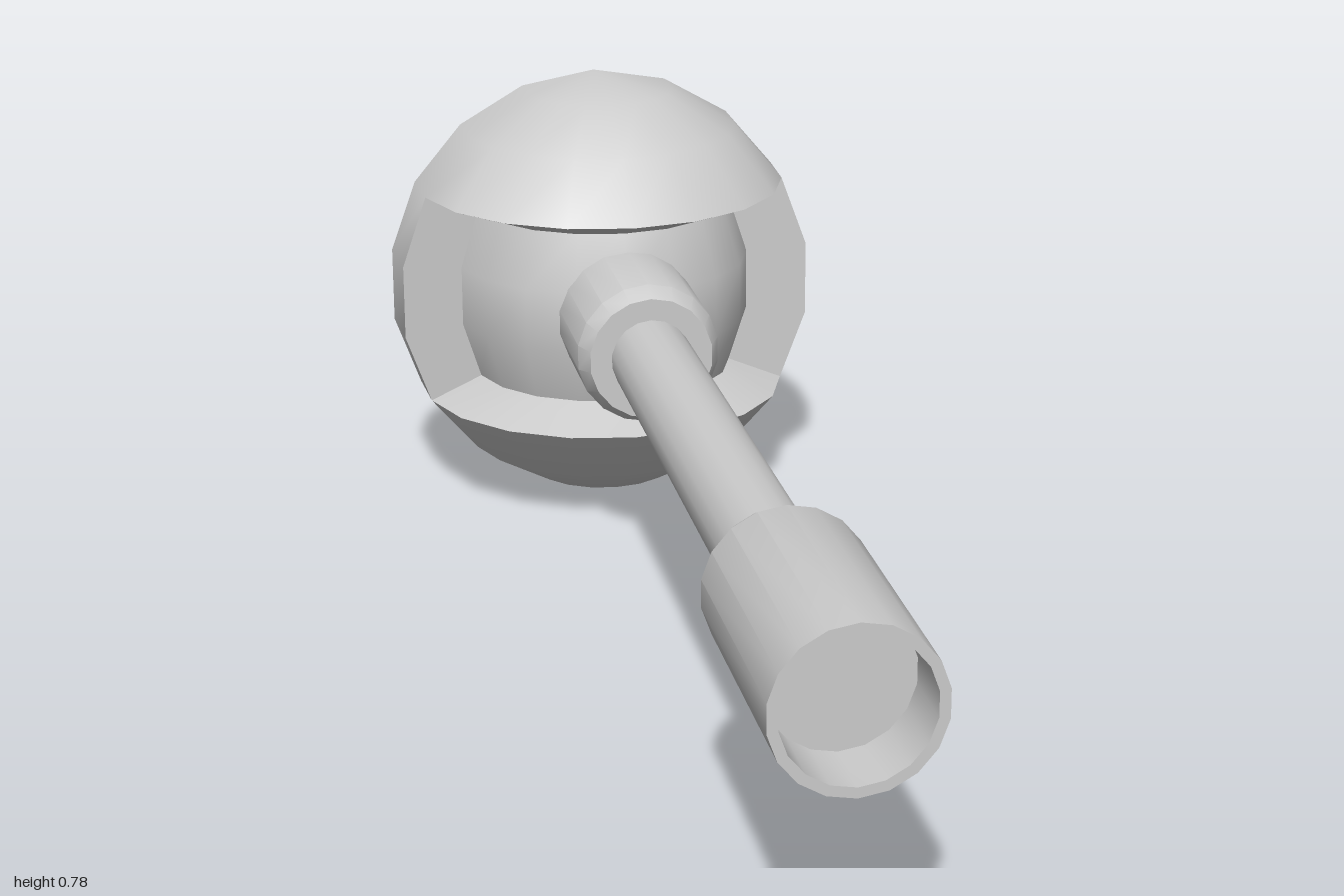
import * as THREE from 'three';
import { toCreasedNormals } from 'three/addons/utils/BufferGeometryUtils.js';

const CY = 0.388, R = 0.388, CZ = -0.945, BACK = -1;
const LATS = [-90, -70, -50, -30, -10, 10, 30, 50, 70, 90];
const LONS = [0, 10, 30, 50, 70, 90, 110, 130, 150, 170, 180];
const rad = THREE.MathUtils.degToRad;

// Point on the outer dome; the rim and poles lie on the back plane
function outer(i, j) {
  const r = R * Math.cos(rad(LATS[i])), t = rad(LONS[j]);
  const flat = j === 0 || j === LONS.length - 1 || i === 0 || i === LATS.length - 1;
  return [r * Math.cos(t), CY + R * Math.sin(rad(LATS[i])), flat ? BACK : CZ + r * Math.sin(t)];
}

// Point on the recessed floor of the slot
function inner(i, j) {
  const r = 0.71 * R * Math.cos(rad(LATS[i])), t = rad(LONS[j]);
  return [r * Math.cos(t), CY + 0.81 * R * Math.sin(rad(LATS[i])), CZ + r * Math.sin(t)];
}

function domeGeometry() {
  const pos = [];
  const same = (a, b) => Math.hypot(a[0] - b[0], a[1] - b[1], a[2] - b[2]) < 1e-6;
  const tri = (a, b, c) => {
    if (!same(a, b) && !same(b, c) && !same(a, c)) pos.push(...a, ...b, ...c);
  };
  const quad = (a, b, c, d) => { tri(a, b, c); tri(a, c, d); };
  const last = LONS.length - 1, lo = 3, hi = 6;

  // Dome skin, sunk in between the slot edges
  for (let i = 0; i < LATS.length - 1; i++) {
    for (let j = 0; j < last; j++) {
      const p = i >= lo && i < hi && j >= 1 && j < last - 1 ? inner : outer;
      quad(p(i, j + 1), p(i, j), p(i + 1, j), p(i + 1, j + 1));
    }
    // Flat back
    const c = [0, CY, BACK];
    tri(c, outer(i + 1, 0), outer(i, 0));
    tri(c, outer(i, last), outer(i + 1, last));
  }
  // Lower and upper slot walls
  for (let j = 1; j < last - 1; j++) {
    quad(outer(lo, j + 1), outer(lo, j), inner(lo, j), inner(lo, j + 1));
    quad(inner(hi, j + 1), inner(hi, j), outer(hi, j), outer(hi, j + 1));
  }
  // Side slot walls
  for (let i = lo; i < hi; i++) {
    const k = last - 1;
    quad(inner(i, 1), outer(i, 1), outer(i + 1, 1), inner(i + 1, 1));
    quad(outer(i, k), inner(i, k), inner(i + 1, k), outer(i + 1, k));
  }
  const g = new THREE.BufferGeometry();
  g.setAttribute('position', new THREE.Float32BufferAttribute(pos, 3));
  return toCreasedNormals(g, rad(32));
}

// Turned part along z from [radius, z] pairs
function turned(profile, sides = 18) {
  const g = new THREE.LatheGeometry(profile.map(([r, z]) => new THREE.Vector2(r, z)), sides);
  g.rotateX(Math.PI / 2);
  return toCreasedNormals(g, rad(30));
}

export function createModel() {
  const model = new THREE.Group();
  const material = new THREE.MeshStandardMaterial({ color: 0xcccccc });
  const add = (parent, name, geometry) => {
    const mesh = new THREE.Mesh(geometry, material);
    mesh.name = name;
    parent.add(mesh);
  };

  add(model, 'slottedDome', domeGeometry());

  // Shaft assembly, very slightly skewed sideways
  const shaft = new THREE.Group();
  shaft.name = 'shaftAssembly';
  shaft.position.set(-0.003, CY, 0);
  shaft.rotation.y = -0.011;
  add(shaft, 'collar', turned([[0, -0.74], [0.125, -0.74], [0.125, -0.5], [0.108, -0.468], [0, -0.468]]));
  add(shaft, 'rod', turned([[0.07, -0.48], [0.073, 0.54]]));
  // Hollow end cup
  add(shaft, 'endCup', turned([
    [0, 0.53], [0.105, 0.53], [0.125, 0.575], [0.125, 1], [0.109, 1], [0.109, 0.89], [0, 0.89],
  ]));
  model.add(shaft);
  return model;
}
